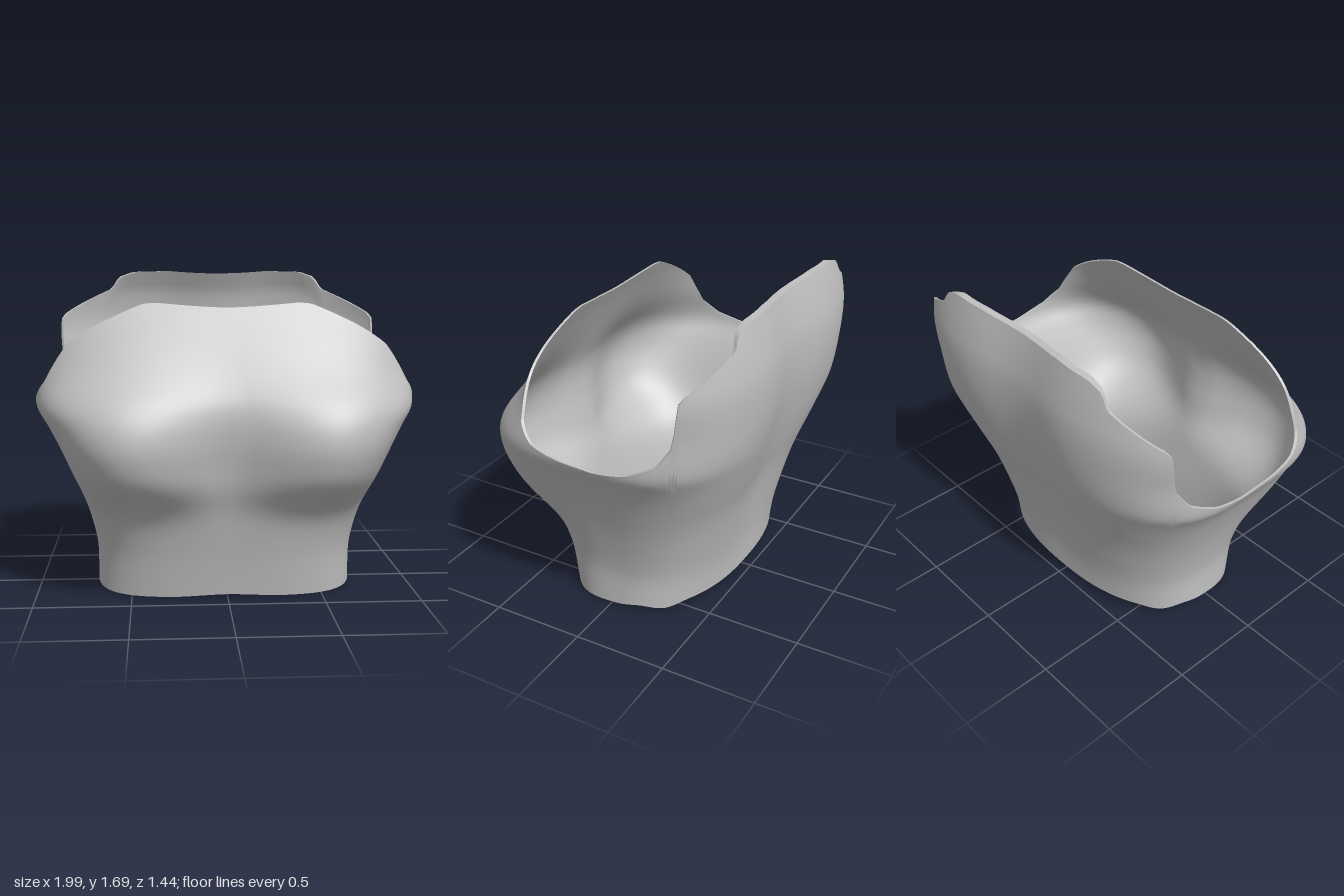
import * as THREE from 'three';
import { toCreasedNormals } from 'three/addons/utils/BufferGeometryUtils.js';

// Linear or smooth (Hermite) lookup through [position, value] knots
function lookup(knots, t, smooth = true) {
  const n = knots.length - 1;
  if (t <= knots[0][0]) return knots[0][1];
  if (t >= knots[n][0]) return knots[n][1];
  let i = 0;
  while (t > knots[i + 1][0]) i++;
  const [x0, y0] = knots[i], [x1, y1] = knots[i + 1];
  const h = x1 - x0, u = (t - x0) / h;
  if (!smooth) return y0 + (y1 - y0) * u;
  const slope = (k) => {
    const a = knots[Math.max(k - 1, 0)], b = knots[Math.min(k + 1, n)];
    return (b[1] - a[1]) / (b[0] - a[0]);
  };
  const u2 = u * u, u3 = u2 * u;
  return (2 * u3 - 3 * u2 + 1) * y0 + (u3 - 2 * u2 + u) * h * slope(i)
    + (3 * u2 - 2 * u3) * y1 + (u3 - u2) * h * slope(i + 1);
}

// Profiles by height: half width, front centre z, back z
const WIDTH = [[0, 0.69], [0.2, 0.69], [0.32, 0.71], [0.5, 0.76], [0.65, 0.815], [0.8, 0.88],
  [0.9, 0.935], [1, 0.995], [1.2, 1.0], [1.4, 1.03], [1.7, 1.0]];
const FRONT = [[0, 0.39], [0.2, 0.43], [0.4, 0.475], [0.55, 0.49], [0.7, 0.5], [0.85, 0.53],
  [0.95, 0.55], [1.05, 0.55], [1.2, 0.5], [1.4, 0.41], [1.53, 0.34]];
const BACK = [[0, 0.47], [0.2, 0.49], [0.4, 0.53], [0.6, 0.58], [0.8, 0.65], [1, 0.71],
  [1.2, 0.745], [1.4, 0.75], [1.55, 0.725], [1.69, 0.69]];

// Neckline, armhole and back edge heights by angle from the front centre
const TOP_EDGE = [[0, 1.505], [0.24, 1.53], [0.3, 1.525], [0.565, 1.42], [0.81, 1.32],
  [1.03, 1.19], [1.12, 1.13], [1.33, 1.05], [1.6, 0.995], [1.77, 1.02], [2.0, 1.09],
  [2.1, 1.18], [2.17, 1.41], [2.22, 1.44], [2.57, 1.55], [2.66, 1.58], [2.71, 1.65],
  [2.81, 1.68], [3.0, 1.685], [3.1416, 1.67]];
const HEM = [[0, 0.02], [0.3, 0.005], [1, 0], [1.5, 0.02], [1.8, 0.045], [2.1, 0.03],
  [2.4, 0.055], [3.1416, 0.05]];

const CENTRE_Z = -0.05;
const gauss = (d, sigma) => Math.exp(-0.5 * (d / sigma) ** 2);

// Bust fullness by height: soft above, abrupt underneath
const bustHeight = (y) => (y < 0.76 ? Math.exp(-(((0.76 - y) / 0.25) ** 3)) : gauss(y - 0.76, 0.24));

// Point on the shell at an angle and height, moved inward by inset
function shellPoint(angle, y, inset) {
  const s = Math.sin(angle), c = Math.cos(angle), isFront = c > 0;
  const n = isFront ? 2.8 + gauss(y - 0.82, 0.2) : 2.4 + 0.8 * Math.min(1, y);
  const xn = Math.abs(s) ** (2 / n), zn = Math.abs(c) ** (2 / n);
  const w = lookup(WIDTH, y);
  const ax = w * xn;
  let z;
  if (isFront) {
    // Rounded bust on each side
    const bust = 0.22 * gauss(ax - 0.57, 0.34) * bustHeight(y) * c ** 0.4;
    z = CENTRE_Z + (lookup(FRONT, y) - inset - CENTRE_Z) * zn + bust;
  } else {
    // Shallow groove along the spine
    const groove = 0.055 * gauss(ax, 0.2) * Math.min(1, y);
    z = CENTRE_Z - (lookup(BACK, y) - inset + CENTRE_Z) * zn + groove;
  }
  return [Math.sign(s) * (w - inset) * xn, y, z];
}

// Closed thin shell: up the outside, over the rim and down the inside
function makeShell(columns, rows) {
  const position = [], index = [];
  const ring = 2 * (rows + 1);
  for (let i = 0; i < columns; i++) {
    const angle = (i / columns) * Math.PI * 2;
    const half = Math.min(angle, Math.PI * 2 - angle);
    const low = lookup(HEM, half), high = lookup(TOP_EDGE, half, false);
    const lip = 0.025 * THREE.MathUtils.smoothstep(half, 2.6, 2.8);
    for (let k = 0; k < ring; k++) {
      const inside = k > rows;
      const v = (inside ? ring - 1 - k : k) / rows;
      const inset = inside ? 0.013 + lip * Math.max(0, (v - 0.93) / 0.07) : 0;
      position.push(...shellPoint(angle, low + (high - low) * v, inset));
    }
    const next = ((i + 1) % columns) * ring;
    for (let k = 0; k < ring; k++) {
      const k1 = (k + 1) % ring;
      const a = i * ring + k, b = next + k, d = i * ring + k1, e = next + k1;
      // Inner quads are split along the same diagonal as the outer ones
      if (k > rows) index.push(a, b, d, b, e, d);
      else index.push(a, b, e, a, e, d);
    }
  }
  const geometry = new THREE.BufferGeometry();
  geometry.setAttribute('position', new THREE.Float32BufferAttribute(position, 3));
  geometry.setIndex(index);
  return toCreasedNormals(geometry, 0.8);
}

export function createModel() {
  const group = new THREE.Group();
  group.name = 'bodice';
  const material = new THREE.MeshStandardMaterial({ color: 0xc0c0c0 });
  material.name = 'light grey';
  const shell = new THREE.Mesh(makeShell(240, 44), material);
  shell.name = 'bodiceShell';
  group.add(shell);
  return group;
}
